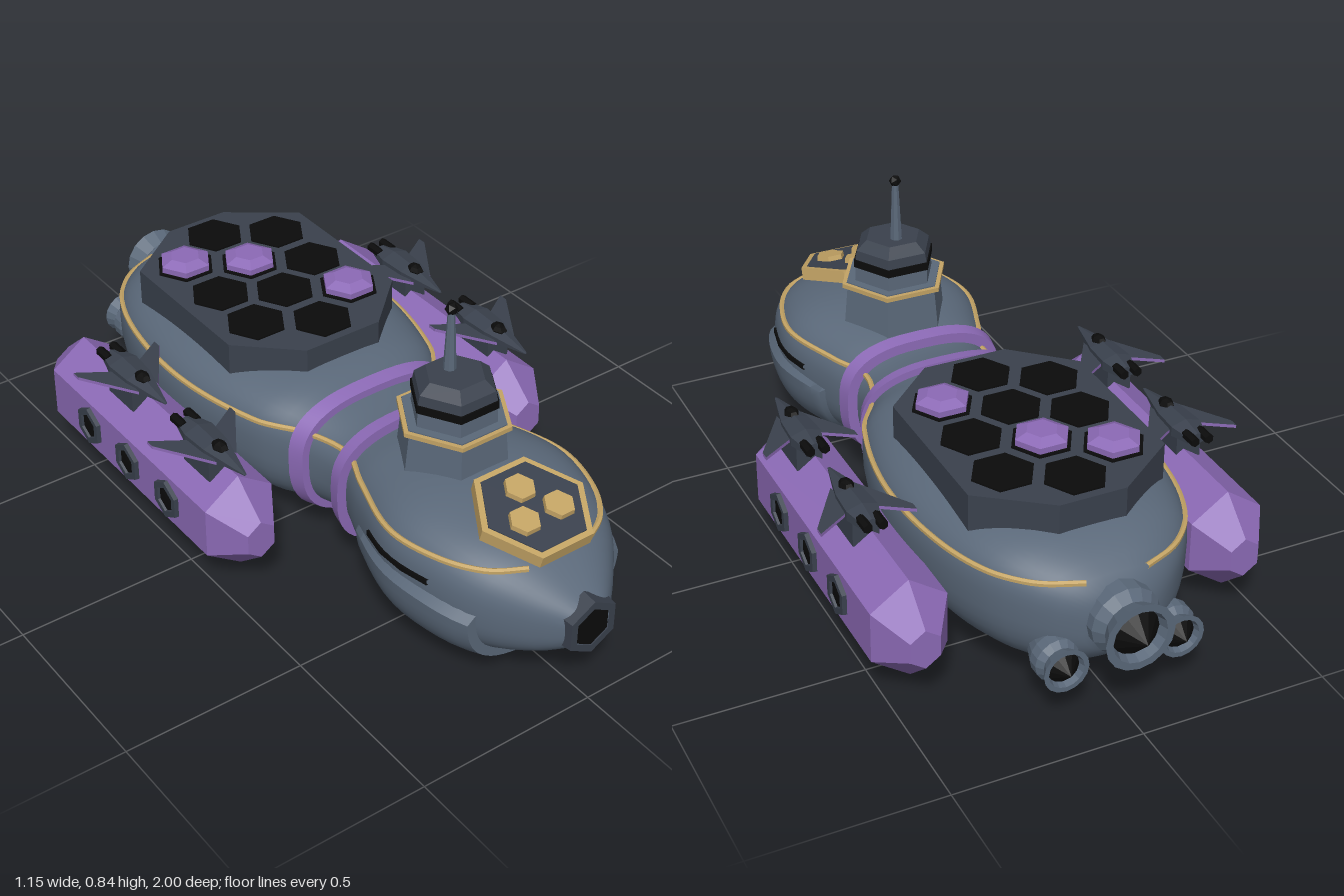
import * as THREE from 'three';
import { toCreasedNormals } from 'three/addons/utils/BufferGeometryUtils.js';

const paint = (color, flatShading = true) =>
  new THREE.MeshStandardMaterial({ color, flatShading, side: THREE.DoubleSide });
const HULL = paint(0x5a6879, false), STEEL = paint(0x5a6879), DARK = paint(0x3a414d);
const PURPLE = paint(0x8c6ab6), BANDS = paint(0x8c6ab6, false), GOLD = paint(0xc4a465), BLACK = paint(0x0b0b0b);

// Hull stations: z, half width, top, bottom, height of the widest line
const STATIONS = [
  [-0.87, 0.10, 0.33, 0.17, 0.25], [-0.82, 0.18, 0.38, 0.11, 0.28], [-0.7, 0.275, 0.43, 0.07, 0.3],
  [-0.5, 0.335, 0.45, 0.05, 0.3], [-0.25, 0.345, 0.455, 0.05, 0.3], [0, 0.29, 0.44, 0.06, 0.3],
  [0.12, 0.225, 0.415, 0.09, 0.28], [0.25, 0.2, 0.40, 0.11, 0.27], [0.36, 0.235, 0.42, 0.085, 0.27],
  [0.55, 0.285, 0.435, 0.055, 0.28], [0.7, 0.265, 0.42, 0.06, 0.27], [0.82, 0.215, 0.385, 0.085, 0.25],
  [0.92, 0.13, 0.325, 0.125, 0.23], [0.985, 0.06, 0.28, 0.17, 0.225],
];
const E = 2.7;

// Smooth interpolation between the stations
function hullAt(z) {
  const S = STATIONS, last = S.length - 1;
  let i = 0;
  while (i < last - 1 && z > S[i + 1][0]) i++;
  const a = S[i], b = S[i + 1], p = S[Math.max(i - 1, 0)], n = S[Math.min(i + 2, last)];
  const d = b[0] - a[0], t = THREE.MathUtils.clamp((z - a[0]) / d, 0, 1), u = 1 - t;
  return [1, 2, 3, 4].map((k) => {
    const ma = (b[k] - p[k]) / (b[0] - p[0]) * d, mb = (n[k] - a[k]) / (n[0] - a[0]) * d;
    return u * u * (1 + 2 * t) * a[k] + t * u * u * ma + t * t * (3 - 2 * t) * b[k] - t * t * u * mb;
  });
}

// Point on the rounded hull section, pushed out by off
function hullPoint(z, angle, off = 0) {
  const [w, top, bot, mid] = hullAt(z), c = Math.cos(angle), s = Math.sin(angle);
  const bend = (v) => Math.sign(v) * Math.abs(v) ** (2 / E);
  return [(w + off) * bend(c), mid + ((s > 0 ? top - mid : mid - bot) + off) * bend(s), z];
}

// Half width of the hull at a height
function hullWidth(z, y) {
  const [w, top, bot, mid] = hullAt(z);
  const t = Math.min(Math.abs((y - mid) / (y > mid ? top - mid : mid - bot)), 0.995);
  return w * (1 - t ** E) ** (1 / E);
}

// Skin over rows of points
function skin(rows, crease = 0.7) {
  const n = rows[0].length, index = [];
  for (let i = 0; i < rows.length - 1; i++)
    for (let j = 0; j < n - 1; j++) {
      const a = i * n + j, b = a + n;
      index.push(a, a + 1, b, a + 1, b + 1, b);
    }
  const g = new THREE.BufferGeometry();
  g.setAttribute('position', new THREE.Float32BufferAttribute(rows.flat(2), 3));
  g.setIndex(index);
  return toCreasedNormals(g, crease);
}
const ring = (z, off, n = 48) =>
  Array.from({ length: n + 1 }, (_, j) => hullPoint(z, j / n * Math.PI * 2, off));

function add(parent, name, geo, mat, x = 0, y = 0, z = 0) {
  const m = new THREE.Mesh(geo, mat);
  m.name = name;
  m.position.set(x, y, z);
  parent.add(m);
  return m;
}
// Upright six-sided prism with corners at +x and -x
const hex = (rTop, rBottom, h) => new THREE.CylinderGeometry(rTop, rBottom, h, 6).rotateY(Math.PI / 6);
// Turned shape along z from [radius, z] pairs
const turned = (pts, sides) =>
  new THREE.LatheGeometry(pts.map((p) => new THREE.Vector2(...p)), sides).rotateX(Math.PI / 2);
// Plate drawn in x and z, centred on y = 0
function plate(pts, depth) {
  const shape = new THREE.Shape(pts.map((p) => new THREE.Vector2(...p)));
  return new THREE.ExtrudeGeometry(shape, { depth, bevelEnabled: false }).rotateX(Math.PI / 2).translate(0, depth / 2, 0);
}

function buildFighter(x, z) {
  const f = new THREE.Group();
  f.name = 'fighter';
  f.position.set(x, 0.383, z);
  add(f, 'fighterBody', turned([[0, -0.14], [0.03, -0.14], [0.048, -0.08], [0.042, 0], [0.004, 0.135]], 6)
    .scale(1, 0.55, 1), DARK);
  add(f, 'fighterCanopy', new THREE.SphereGeometry(0.02, 6, 4).scale(1, 0.8, 1.4), BLACK, 0, 0.018, 0.02);
  add(f, 'fighterPylon', new THREE.BoxGeometry(0.07, 0.07, 0.12), DARK, 0, -0.045, -0.04);
  for (const s of [-1, 1]) {
    const wing = plate([[0.03, 0.05], [0.125, -0.1], [0.125, -0.125], [0.04, -0.07], [0.02, -0.07]].map(([a, b]) => [s * a, b]), 0.009);
    add(f, 'fighterWing', wing, [DARK, PURPLE], 0, -0.004, 0);
    add(f, 'fighterEngine', new THREE.CylinderGeometry(0.013, 0.013, 0.05, 6).rotateX(Math.PI / 2), BLACK, s * 0.02, 0.008, -0.14);
  }
  return f;
}

export function createModel() {
  const g = new THREE.Group();
  g.name = 'submarineCarrier';

  // Hull with closed ends
  const rows = [];
  for (let i = 0; i <= 60; i++) rows.push(ring(-0.87 + 1.855 * i / 60, 0));
  rows.unshift(rows[0].map(() => [0, 0.25, -0.875]));
  rows.push(rows[1].map(() => [0, 0.225, 0.985]));
  add(g, 'hull', skin(rows), HULL);

  // Neck bands
  for (const [z, off] of [[0.12, 0.02], [0.27, 0.028]])
    add(g, 'neckBand', skin([[-0.021, -0.01], [-0.02, off], [0.02, off], [0.021, -0.01]].map(([d, o]) => ring(z + d, o))), BANDS);

  // Chin armour wrapped under the bow
  const chin = [];
  for (let i = 0; i <= 14; i++) {
    const z = 0.36 + 0.46 * Math.min(i, 13) / 13;
    const lift = i === 0 || i === 14 ? -0.02 : 0.008 + 0.016 * i / 13;
    chin.push(Array.from({ length: 33 }, (_, j) =>
      hullPoint(z, Math.PI * (0.99 + 1.02 * j / 32), j === 0 || j === 32 ? -0.02 : lift)));
  }
  add(g, 'chinArmour', skin(chin), HULL);

  // Keel
  const keel = new THREE.Shape([[-0.66, 0.1], [-0.61, 0.03], [0.56, 0], [0.59, 0.06], [0.58, 0.1]].map((p) => new THREE.Vector2(...p)));
  add(g, 'keel', new THREE.ExtrudeGeometry(keel, { depth: 0.034, bevelEnabled: false }).translate(0, 0, -0.017).rotateY(Math.PI / 2), DARK);

  // Nose port
  add(g, 'noseFrame', turned([[0, -0.03], [0.083, -0.03], [0.078, 0.012], [0.056, 0.012]], 6), DARK, 0, 0.225, 0.985);
  add(g, 'nosePort', turned([[0.057, 0], [0, 0.001]], 6), BLACK, 0, 0.225, 0.993);

  // Deck with hexagonal cells
  const quarter = [[0.265, -0.15], [0.265, -0.59], [0.09, -0.72]];
  const outline = [[0.115, -0.01], ...quarter, ...quarter.map(([x, z]) => [-x, z]).reverse(), [-0.115, -0.01]];
  add(g, 'flightDeck', plate(outline, 0.12), DARK, 0, 0.443, 0);
  const cells = [[0, -0.625, 0], [-0.15, -0.54, 1], [0.15, -0.54, 0], [0, -0.45, 1], [-0.15, -0.365, 0],
    [0.15, -0.365, 0], [0, -0.28, 0], [-0.15, -0.195, 0], [0.15, -0.195, 1], [0, -0.105, 0]];
  for (const [x, z, domed] of cells) {
    add(g, 'deckCell', hex(0.083, 0.083, 0.01), BLACK, x, 0.503, z);
    if (!domed) continue;
    add(g, 'deckDomeBase', hex(0.073, 0.073, 0.018), PURPLE, x, 0.515, z);
    add(g, 'deckDomeCap', hex(0.042, 0.073, 0.014), PURPLE, x, 0.531, z);
  }

  // Conning tower, as stacked hexagons: top radius, bottom radius, low, high
  const tiers = [['towerBase', STEEL, 0.138, 0.152, 0.38, 0.522], ['towerRim', GOLD, 0.153, 0.153, 0.522, 0.534],
    ['towerDeck', STEEL, 0.14, 0.14, 0.524, 0.537], ['towerCabin', STEEL, 0.113, 0.115, 0.53, 0.58],
    ['towerWindows', BLACK, 0.117, 0.117, 0.578, 0.6], ['towerRoof', DARK, 0.108, 0.113, 0.6, 0.626],
    ['towerCap', DARK, 0.078, 0.108, 0.626, 0.652]];
  for (const [name, mat, rt, rb, lo, hi] of tiers) add(g, name, hex(rt, rb, hi - lo), mat, 0, (lo + hi) / 2, 0.452);
  add(g, 'mast', new THREE.CylinderGeometry(0.009, 0.017, 0.17, 8), STEEL, 0, 0.735, 0.43);
  add(g, 'mastLamp', new THREE.IcosahedronGeometry(0.017, 0), BLACK, 0, 0.823, 0.43);

  // Sloping bow pad
  const pad = new THREE.Group();
  pad.name = 'bowPad';
  pad.position.set(0, 0.42, 0.757);
  pad.rotation.x = 0.25;
  g.add(pad);
  add(pad, 'padRim', hex(0.156, 0.156, 0.035), GOLD);
  add(pad, 'padFloor', hex(0.138, 0.138, 0.006), DARK, 0, 0.017, 0);
  for (const [x, z] of [[0, -0.056], [-0.053, 0.03], [0.053, 0.03]])
    add(pad, 'padCell', hex(0.04, 0.042, 0.018), GOLD, x, 0.025, z);

  // Stern engines: x, y, z, scale
  for (const [x, y, z, s] of [[0, 0.26, -0.93, 1], [-0.155, 0.165, -0.875, 0.65], [0.155, 0.165, -0.875, 0.65]]) {
    const e = new THREE.Group();
    e.name = 'engine';
    e.position.set(x, y, z);
    e.scale.setScalar(s);
    g.add(e);
    add(e, 'nozzle', turned([[0.062, -0.005], [0.072, -0.035], [0.092, -0.035], [0.07, 0.01], [0.092, 0.035], [0.092, 0.08], [0.07, 0.14]], 16), STEEL);
    add(e, 'nozzleCore', turned([[0, -0.07], [0.068, -0.005], [0, 0.02]], 12), BLACK);
  }

  for (const s of [-1, 1]) {
    // Gold line along the hull edge
    const line = [];
    for (let i = 0; i <= 40; i++) {
      const z = -0.84 + 1.7 * i / 40;
      line.push(new THREE.Vector3(s * (hullWidth(z, 0.357) + 0.002), 0.357, z));
    }
    add(g, 'hullTrim', new THREE.TubeGeometry(new THREE.CatmullRomCurve3(line), 90, 0.008, 6), GOLD);

    // Dark window slit
    const slit = [0.465, 0.54, 0.62, 0.7].map((z) => [[0.284, 0.01], [0.298, 0.01], [0.298, -0.02], [0.284, -0.02]]
      .map(([y, o]) => [s * (hullWidth(z, y) + Math.max(o, 0) * 0.6 + Math.min(o, 0)), y, z]));
    slit.forEach((r) => { r.push(r[0]); });
    add(g, 'windowSlit', skin(slit, 0.3), BLACK);

    // Side pod with portholes and fighters
    const pod = turned([[0, -0.72], [0.055, -0.72], [0.14, -0.625], [0.14, 0.14], [0.055, 0.24], [0, 0.24]], 6).scale(0.825, 1, 1);
    add(g, 'sidePod', pod, PURPLE, s * 0.435, 0.195, 0);
    for (const z of [-0.04, -0.235, -0.43]) {
      const port = add(g, 'portholeFrame', turned([[0.06, -0.02], [0.056, 0.012], [0.038, 0.012], [0.036, 0.004]], 6), DARK, s * 0.535, 0.195, z);
      port.rotation.y = s * Math.PI / 2;
      add(port, 'portholeGlass', turned([[0.038, 0.005], [0, 0.006]], 6), BLACK);
    }
    for (const z of [0.065, -0.305]) g.add(buildFighter(s * 0.45, z));
  }
  return g;
}
